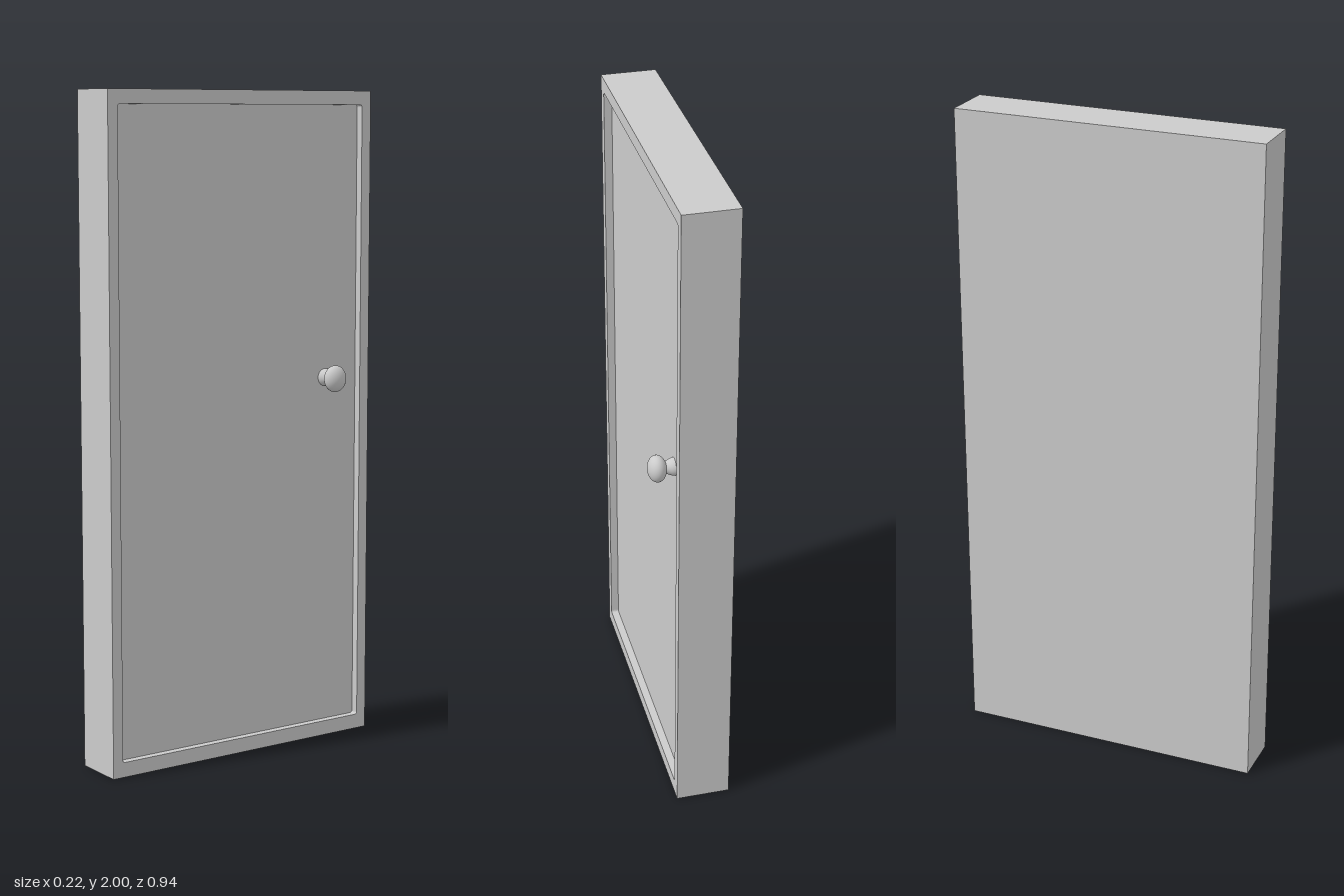
import * as THREE from 'three';

const BACK = -0.11, FRONT = 0.054, PANEL = 0.03; // x positions of the door's layers

// Rectangle outline with optional rounded corners
function outline(target, halfWidth, bottom, top, r) {
  const w = halfWidth;
  target.moveTo(-w + r, bottom);
  target.lineTo(w - r, bottom);
  target.quadraticCurveTo(w, bottom, w, bottom + r);
  target.lineTo(w, top - r);
  target.quadraticCurveTo(w, top, w - r, top);
  target.lineTo(-w + r, top);
  target.quadraticCurveTo(-w, top, -w, top - r);
  target.lineTo(-w, bottom + r);
  target.quadraticCurveTo(-w, bottom, -w + r, bottom);
  return target;
}

export function createModel() {
  const group = new THREE.Group();
  const material = new THREE.MeshStandardMaterial({ color: 0xcccccc });
  const add = (name, geometry, parent = group) => {
    const mesh = new THREE.Mesh(geometry, material);
    mesh.name = name;
    parent.add(mesh);
    return mesh;
  };

  // Main slab, up to the recessed panel
  const slab = add('doorPanel', new THREE.BoxGeometry(PANEL - BACK, 2, 0.94));
  slab.position.set((PANEL + BACK) / 2, 1, 0);

  // Raised frame around the panel
  const frameShape = new THREE.Shape([
    new THREE.Vector2(-0.47, 0), new THREE.Vector2(0.47, 0),
    new THREE.Vector2(0.47, 2), new THREE.Vector2(-0.47, 2),
  ]);
  frameShape.holes.push(outline(new THREE.Path(), 0.437, 0.045, 1.958, 0.008));
  const frameGeometry = new THREE.ExtrudeGeometry(frameShape, {
    depth: FRONT - PANEL, bevelEnabled: false, curveSegments: 4,
  });
  frameGeometry.rotateY(Math.PI / 2);
  add('doorFrame', frameGeometry).position.x = PANEL;

  // Knob: flared neck and flattened ball, both along x
  const knob = new THREE.Group();
  knob.name = 'doorKnob';
  knob.position.set(PANEL, 1.13, -0.32);
  group.add(knob);

  const neckProfile = new THREE.SplineCurve([
    [0.027, 0], [0.025, 0.01], [0.02, 0.022], [0.018, 0.032], [0.02, 0.045],
  ].map(([r, h]) => new THREE.Vector2(r, h))).getPoints(12);
  const neck = new THREE.LatheGeometry(neckProfile, 32);
  neck.rotateZ(-Math.PI / 2);
  add('knobNeck', neck, knob);

  const ball = new THREE.SphereGeometry(1, 32, 20);
  ball.rotateZ(-Math.PI / 2);
  ball.scale(0.028, 0.041, 0.037);
  add('knobBall', ball, knob).position.x = 0.081 - PANEL;

  return group;
}
